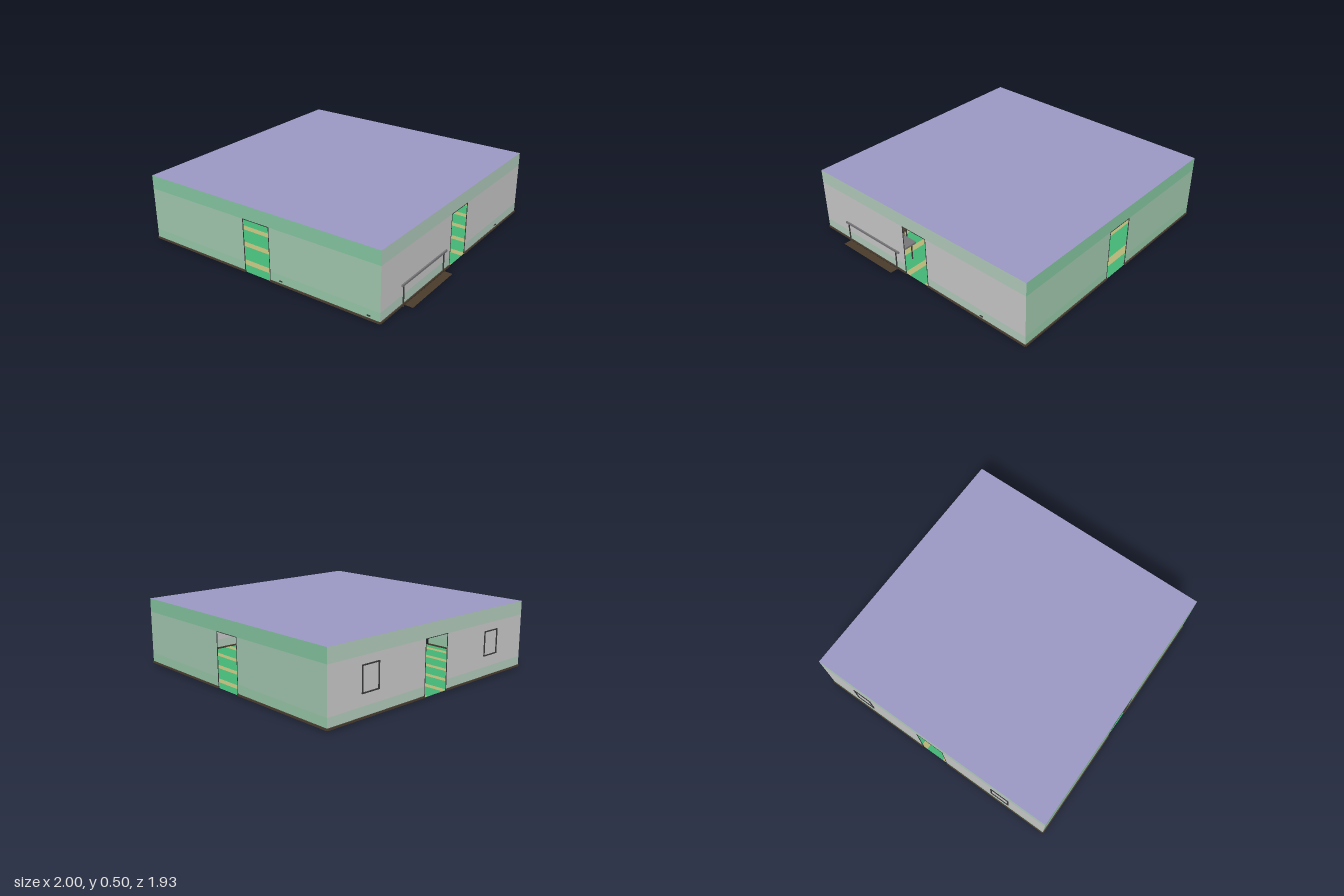
import * as THREE from 'three';

const X0 = -0.992, X1 = 0.93, Z = 0.96, TOP = 0.5, BASE = 0.01;
const CX = (X0 + X1) / 2, W = X1 - X0, DOOR = 0.109, DOOR_TOP = 0.4;

const mat = (color, side = THREE.FrontSide) => new THREE.MeshStandardMaterial({ color, side });
const wood = mat(0x4a3d30), dark = mat(0x3a3a3a), metal = mat(0x77777a);

function add(parent, name, geometry, material, x = 0, y = 0, z = 0) {
  const mesh = new THREE.Mesh(geometry, material);
  mesh.name = name;
  mesh.position.set(x, y, z);
  parent.add(mesh);
  return mesh;
}
const box = (parent, name, material, w, h, d, x, y, z) =>
  add(parent, name, new THREE.BoxGeometry(w, h, d), material, x, y, z);

// A wall in its own plane (facing +z): painted bands, a doorway, skirting and sockets
function makeWall(name, width, colors, sockets) {
  const wall = new THREE.Group();
  wall.name = name;
  const half = width / 2, side = half - DOOR;
  const levels = [BASE, 0.085, DOOR_TOP];
  const panel = (label, w, y0, y1, x, color) =>
    add(wall, label, new THREE.PlaneGeometry(w, y1 - y0), mat(color, THREE.DoubleSide), x, (y0 + y1) / 2, 0);
  for (const s of [-1, 1]) {
    const x = s * (DOOR + side / 2);
    panel('lowerBand', side, levels[0], levels[1], x, colors[0]);
    panel('middleBand', side, levels[1], levels[2], x, colors[1]);
    box(wall, 'skirting', wood, side, 0.013, 0.014, x, 0.0155, 0);
    box(wall, 'doorJamb', dark, 0.004, DOOR_TOP - BASE, 0.004, s * DOOR, (DOOR_TOP + BASE) / 2, 0);
  }
  panel('upperBand', width, DOOR_TOP, TOP, 0, colors[2]);
  box(wall, 'doorHead', dark, DOOR * 2, 0.004, 0.004, 0, DOOR_TOP, 0);
  for (const x of sockets) box(wall, 'socket', dark, 0.025, 0.006, 0.014, x, 0.04, 0);
  return wall;
}

export function createModel() {
  const model = new THREE.Group();
  model.name = 'room';

  // Walls
  const green = [0x98c9a9, 0xa3c9b0, 0x86c6a2], grey = [0xb4cebf, 0xcccccc, 0xb4cebf];
  const walls = [
    ['frontWall', W, green, [0.2, 0.88], CX, Z, 0],
    ['backWall', W, green, [], CX, -Z, Math.PI],
    ['leftWall', Z * 2, grey, [0.6], X1, 0, Math.PI / 2],
    ['rightWall', Z * 2, grey, [], X0, 0, -Math.PI / 2],
  ];
  for (const [name, width, colors, sockets, x, z, turn] of walls) {
    const wall = makeWall(name, width, colors, sockets);
    wall.position.set(x, 0, z);
    wall.rotation.y = turn;
    model.add(wall);
  }

  // Ceiling and floor
  const flat = (name, w, d, color, x, y, z) => {
    const m = add(model, name, new THREE.PlaneGeometry(w, d), mat(color, THREE.DoubleSide), x, y, z);
    m.rotation.x = -Math.PI / 2;
  };
  flat('ceiling', W, Z * 2, 0x9c98c4, CX, TOP, 0);
  flat('floor', W, Z * 2, 0x45b575, CX, BASE, 0);
  for (let i = 0; i < 10; i++) flat('floorStripe', W, 0.05, 0xb5b578, CX, BASE + 0.002, -0.864 + i * 0.192);

  // Frames showing on the right wall
  for (const z of [-0.61, 0.59]) {
    const frame = new THREE.Group();
    frame.name = 'wallFrame';
    for (const s of [-1, 1]) {
      box(frame, 'frameSide', dark, 0.012, 0.18, 0.008, 0, 0, s * 0.07);
      box(frame, 'frameRail', dark, 0.012, 0.008, 0.14, 0, s * 0.086, 0);
    }
    frame.position.set(X0, 0.255, z);
    model.add(frame);
  }

  // Table whose edge reaches through the left wall, and the flat board beside it
  const table = new THREE.Group();
  table.name = 'table';
  box(table, 'tableTop', metal, 0.165, 0.014, 0.565, 0.858, 0.158, 0.447);
  for (const x of [0.79, 0.934])
    for (const z of [0.2, 0.706])
      add(table, 'tableLeg', new THREE.CylinderGeometry(0.005, 0.005, 0.155, 10), dark, x, 0.0775, z);
  model.add(table);
  flat('board', 0.06, 0.51, 0x4a3c2c, 0.97, 0.012, 0.445);

  // Stool at the table and a low side table by the front wall
  const legged = (name, x, z, w, d, h) => {
    const g = new THREE.Group();
    g.name = name;
    box(g, 'top', wood, w + 0.02, 0.012, d + 0.02, 0, h, 0);
    for (const sx of [-1, 1])
      for (const sz of [-1, 1])
        add(g, 'leg', new THREE.CylinderGeometry(0.005, 0.005, h, 8), dark, sx * w / 2, h / 2, sz * d / 2);
    g.position.set(x, 0, z);
    model.add(g);
  };
  legged('stool', 0.67, 0.43, 0.04, 0.03, 0.09);
  legged('sideTable', 0.565, 0.85, 0.17, 0.07, 0.12);

  return model;
}
